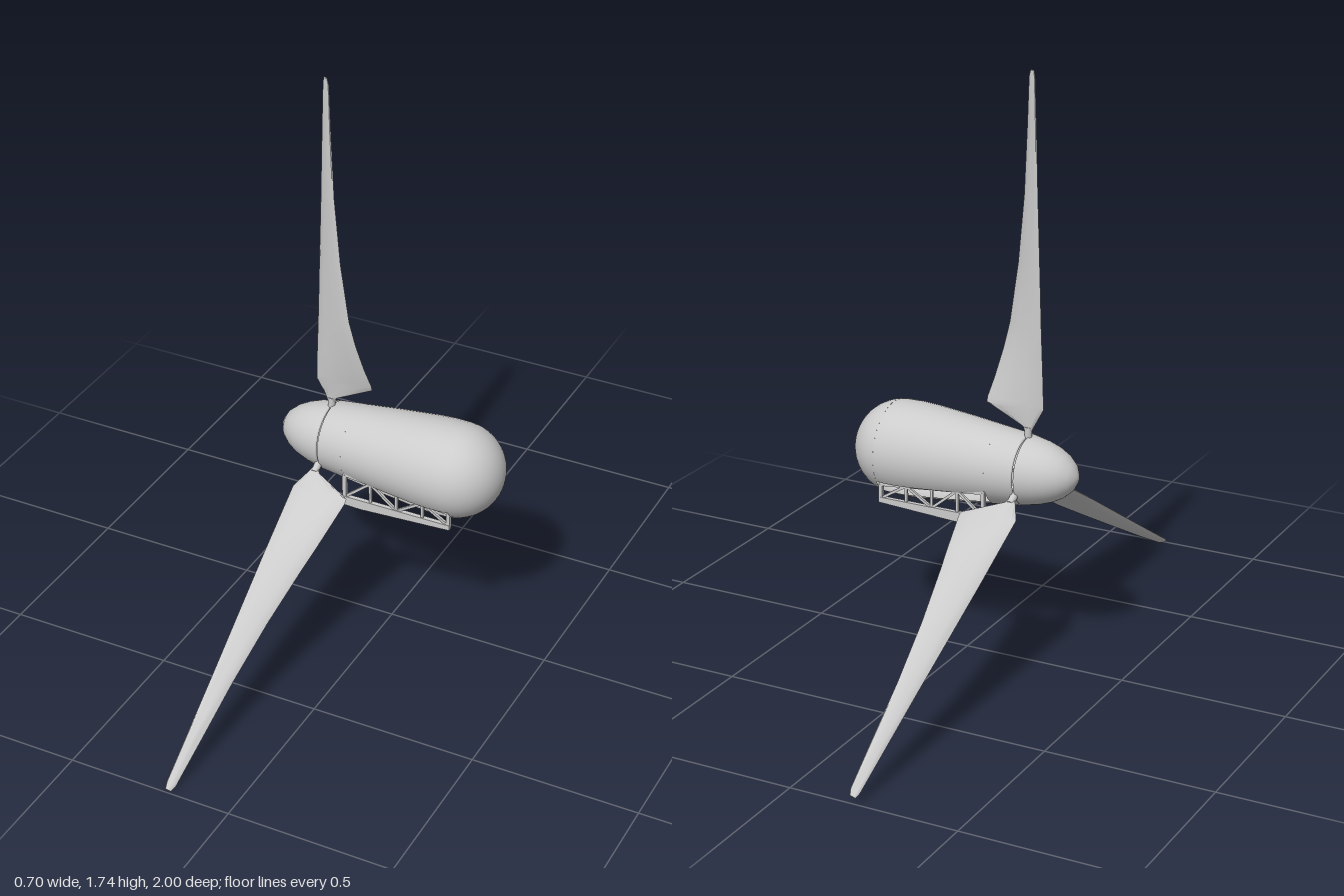
import * as THREE from 'three';
import { toCreasedNormals } from 'three/addons/utils/BufferGeometryUtils.js';

const HUB_X = -0.195, HUB_Y = 0.59;
const grey = new THREE.MeshStandardMaterial({ color: 0xcccccc, side: THREE.DoubleSide });
const deg = THREE.MathUtils.degToRad;

function addMesh(parent, geometry, name) {
  const mesh = new THREE.Mesh(geometry, grey);
  mesh.name = name;
  parent.add(mesh);
  return mesh;
}

// Surface of revolution about the x axis; points are [x, radius].
// Start and sweep are in degrees, with 90 pointing straight down.
function spin(points, start = 0, sweep = 360) {
  const profile = points.map(([x, r]) => new THREE.Vector2(r, x));
  const steps = Math.max(6, Math.round(sweep / 9));
  return new THREE.LatheGeometry(profile, steps, deg(start), deg(sweep)).rotateZ(-Math.PI / 2);
}

// Square bar between two points
function bar(parent, a, b, width, name) {
  const from = new THREE.Vector3(...a), to = new THREE.Vector3(...b);
  const dir = to.clone().sub(from);
  const mesh = addMesh(parent, new THREE.BoxGeometry(width, dir.length(), width), name);
  mesh.position.copy(from).add(to).multiplyScalar(0.5);
  mesh.quaternion.setFromUnitVectors(new THREE.Vector3(0, 1, 0), dir.normalize());
}

// Lofted blade: lens-shaped sections along the radius
function bladeGeometry() {
  // radius, leading x, trailing x, leading z, trailing z, thickness
  const stations = [
    [0.115, -0.01, 0.01, 0, 0, 0.016],
    [0.13, -0.017, 0.017, 0, 0, 0.016],
    [0.185, -0.045, 0.13, 0.004, -0.004, 0.02],
    [0.2, -0.045, 0.13, 0.004, 0, 0.022],
    [0.26, -0.043, 0.114, 0.004, 0.014, 0.024],
    [0.34, -0.04, 0.095, 0.003, 0.028, 0.024],
    [0.42, -0.037, 0.078, 0.002, 0.035, 0.022],
    [0.6, -0.03, 0.052, 0.003, 0.034, 0.019],
    [0.8, -0.022, 0.033, 0.004, 0.03, 0.015],
    [1.0, -0.015, 0.022, 0.005, 0.024, 0.012],
    [1.135, -0.01, 0.015, 0.005, 0.018, 0.009],
    [1.154, -0.006, 0.009, 0.007, 0.015, 0.005],
  ];
  const n = 12, positions = [], index = [];
  for (const [r, x0, x1, z0, z1, t] of stations) {
    for (let i = 0; i < n; i++) {
      const a = (i / n) * Math.PI * 2;
      const u = (1 - Math.cos(a)) / 2;
      positions.push(x0 + (x1 - x0) * u, r, z0 + (z1 - z0) * u + Math.sin(a) * t / 2);
    }
  }
  const last = (stations.length - 1) * n;
  for (let s = 0; s < last; s += n) {
    for (let i = 0; i < n; i++) {
      const a = s + i, b = s + (i + 1) % n;
      index.push(a, b, b + n, a, b + n, a + n);
    }
  }
  for (let i = 1; i < n - 1; i++) {
    index.push(0, i + 1, i, last, last + i, last + i + 1);
  }
  const geometry = new THREE.BufferGeometry();
  geometry.setAttribute('position', new THREE.Float32BufferAttribute(positions, 3));
  geometry.setIndex(index);
  return toCreasedNormals(geometry, 0.7);
}

export function createModel() {
  const model = new THREE.Group();
  model.name = 'windTurbineHead';

  // Nacelle: front collar, slotted middle and round tail
  const nacelle = new THREE.Group();
  nacelle.name = 'nacelle';
  nacelle.position.y = HUB_Y;
  model.add(nacelle);
  addMesh(nacelle, spin([[-0.192, 0.096], [-0.19, 0.104], [-0.11, 0.113]]), 'nacelleCollar');
  const middle = [[-0.11, 0.113], [0, 0.126], [0.12, 0.138], [0.17, 0.141], [0.215, 0.1405], [0.235, 0.138]];
  addMesh(nacelle, spin(middle, 148, 244), 'nacelleBody');
  addMesh(nacelle, spin(middle, 52, 76), 'nacelleBelly');
  const tail = [];
  for (let i = 0; i <= 14; i++) {
    const a = deg(10 + (80 * i) / 14);
    tail.push([0.2105 + Math.sin(a) * 0.1405, Math.max(0, Math.cos(a) * 0.1405)]);
  }
  addMesh(nacelle, spin(tail), 'nacelleTail');

  // Rotor: spinner and three blades
  const rotor = new THREE.Group();
  rotor.name = 'rotor';
  rotor.position.set(HUB_X, HUB_Y, 0);
  model.add(rotor);
  const nose = [[-0.157, 0], [-0.154, 0.018], [-0.14, 0.042], [-0.115, 0.064], [-0.085, 0.08],
    [-0.05, 0.092], [-0.003, 0.102], [-0.001, 0.094]];
  addMesh(rotor, spin(nose), 'spinner');
  const bladeShape = bladeGeometry();
  for (let i = 0; i < 3; i++) {
    const blade = new THREE.Group();
    blade.name = 'blade' + (i + 1);
    blade.rotation.x = (i * Math.PI * 2) / 3;
    addMesh(blade, bladeShape, 'bladeSurface');
    addMesh(blade, new THREE.CylinderGeometry(0.011, 0.011, 0.06, 12), 'bladePin').position.y = 0.1;
    rotor.add(blade);
  }

  // Lattice side frames under the nacelle
  const railShape = new THREE.Shape([[-0.11, 0.435], [-0.05, 0.433], [0.235, 0.448], [0.235, 0.464], [-0.11, 0.464]]
    .map(([x, y]) => new THREE.Vector2(x, y)));
  for (const side of [1, -1]) {
    const frame = new THREE.Group();
    frame.name = side > 0 ? 'frontFrame' : 'backFrame';
    model.add(frame);
    const z = side * 0.098;
    const rail = new THREE.ExtrudeGeometry(railShape, { depth: 0.014, bevelEnabled: false });
    addMesh(frame, rail, 'lowerRail').position.z = z - 0.007;
    const topY = (x) => 0.537 - (x + 0.105) * 0.1;
    bar(frame, [-0.11, topY(-0.11), z], [0.235, topY(0.235), z], 0.01, 'upperRail');
    const bays = 4;
    for (let i = 0; i <= bays; i++) {
      const x = -0.103 + (0.333 * i) / bays, next = x + 0.333 / bays;
      bar(frame, [x, 0.455, z], [x, topY(x), z], i % bays ? 0.008 : 0.012, 'post');
      if (i === bays) continue;
      const up = i % 2 === 0;
      bar(frame, [x, up ? 0.46 : topY(x), z], [next, up ? topY(next) : 0.46, z], 0.008, 'brace');
    }
  }
  return model;
}
